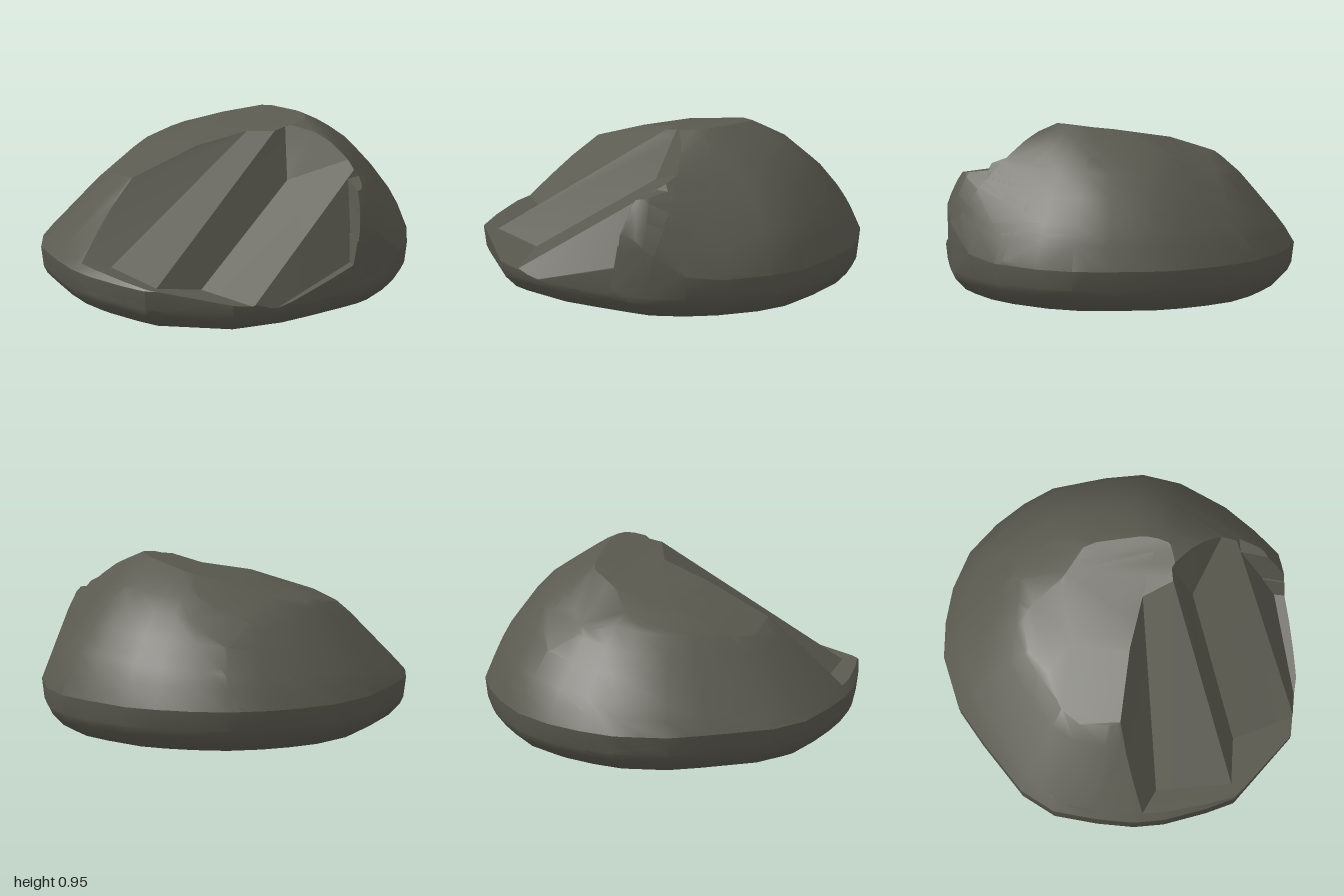
import * as THREE from 'three';
import { toCreasedNormals } from 'three/addons/utils/BufferGeometryUtils.js';
import { ConvexGeometry } from 'three/addons/geometries/ConvexGeometry.js';

// Plan outline as x, z pairs, running round the boulder
const OUTLINE = [[0, -.98], [.2, -.97], [.42, -.91], [.6, -.79], [.74, -.66], [.85, -.52], [.95, -.25], [1, -.05],
  [.98, .16], [.88, .42], [.76, .6], [.6, .75], [.47, .8], [.2, .89], [0, .95], [-.15, .95], [-.35, .97],
  [-.55, .82], [-.77, .72], [-.85, .58], [-.95, .36], [-.99, .2], [-1, 0], [-.99, -.24], [-.9, -.43],
  [-.64, -.69], [-.47, -.84], [-.2, -.96]];
// Dome rows: fraction of the outline, height
const DOME = [[0, .92], [.2, .91], [.4, .86], [.5, .8], [.6, .73], [.7, .645], [.8, .53], [.9, .41], [.95, .34], [1, .25]];
// Undercut rows below the rim: fraction of the outline, height
const UNDERCUT = [[.985, .14], [.965, .1], [.905, .04], [.84, .008]];

// Whole dome as a cloud of points on rings
function domePoints() {
  const points = [];
  const n = OUTLINE.length;
  for (let i = 0; i < n * 2; i++) {
    const a = OUTLINE[i >> 1], b = OUTLINE[((i + 1) >> 1) % n];
    const rimX = (a[0] + b[0]) / 2, rimZ = (a[1] + b[1]) / 2;
    for (const [rho, h] of DOME) {
      const x = rimX * rho, z = rimZ * rho;
      const lean = (x > 0 ? .14 : .1) * x * (1 - rho ** 8);
      const shoulder = .26 * Math.exp(-((x - .45) ** 2 + (z - .74) ** 2) / .05);
      const peak = .06 * Math.exp(-((x - .4) ** 2 + (z - .2) ** 2) / .03);
      points.push(new THREE.Vector3(x, h + lean + shoulder + peak, z));
    }
    for (const [rho, h] of UNDERCUT) points.push(new THREE.Vector3(rimX * rho, h, rimZ * rho));
  }
  points.push(new THREE.Vector3(0, 0, 0));
  return points;
}

// Cutting planes: keep what lies below y = a + b x + c z, or right of x = a + b y + c z
const below = (a, b, c) => ({ normal: new THREE.Vector3(-b, 1, -c), limit: a });
const rightOf = (a, b, c) => ({ normal: new THREE.Vector3(-1, b, c), limit: -a });

// Corner points of a convex solid after one plane has cut it
function cut(points, { normal, limit }) {
  const pos = new ConvexGeometry(points).attributes.position;
  const kept = new Map();
  const keep = (p) => kept.set(p.toArray().map((v) => v.toFixed(4)).join(), p);
  for (let i = 0; i < pos.count; i += 3) {
    const tri = [0, 1, 2].map((k) => new THREE.Vector3().fromBufferAttribute(pos, i + k));
    tri.forEach((p, k) => {
      const q = tri[(k + 1) % 3];
      const dp = normal.dot(p) - limit, dq = normal.dot(q) - limit;
      if (dp <= 0) keep(p);
      if (dp * dq < 0) keep(p.clone().lerp(q, dp / (dp - dq)));
    });
  }
  return [...kept.values()];
}

// Worn facets on the dome
const FACETS = [
  below(.855, .2, .08), below(.89, .37, .08), // crown and left shoulder
  below(.913, .257, .257), below(.935, .446, .069), below(1.175, .818, -.303), // back left
  below(1.06, -.044, .559), below(1.293, -.33, .844), // back
  below(2.08, 0, -1.96), // front
];

// Each piece of split stone is the dome cut by a few fracture planes
const PIECES = {
  backMass: [below(.98, .35, -1.5)],
  crest: [below(1.024, 0, -.4), below(1.077, 1.06, -1.9), below(.33, 3, 0)],
  upperSlab: [below(.845, .65, -.22), below(1.555, -.454, -2.356)],
  lowerSlab: [below(.689, .52, -.42), below(2.281, -.558, -2.334)],
  rightShoulder: [below(.8, 0, -.18), rightOf(.37, .14, .02)],
  rightChip: [below(.5, 0, -.1), rightOf(.33, .2, .03)],
  leftFoot: [below(.13, -.17, 0)],
  rightFoot: [below(.165, .3, 0)],
};

export function createModel() {
  const group = new THREE.Group();
  group.name = 'boulder';
  const stone = new THREE.MeshStandardMaterial({ color: 0x5b5a50 });
  stone.name = 'dark stone';
  const dome = FACETS.reduce(cut, domePoints());
  for (const [name, planes] of Object.entries(PIECES)) {
    const geometry = new ConvexGeometry(planes.reduce(cut, dome));
    const piece = new THREE.Mesh(toCreasedNormals(geometry, .4), stone);
    piece.name = name;
    group.add(piece);
  }
  return group;
}
